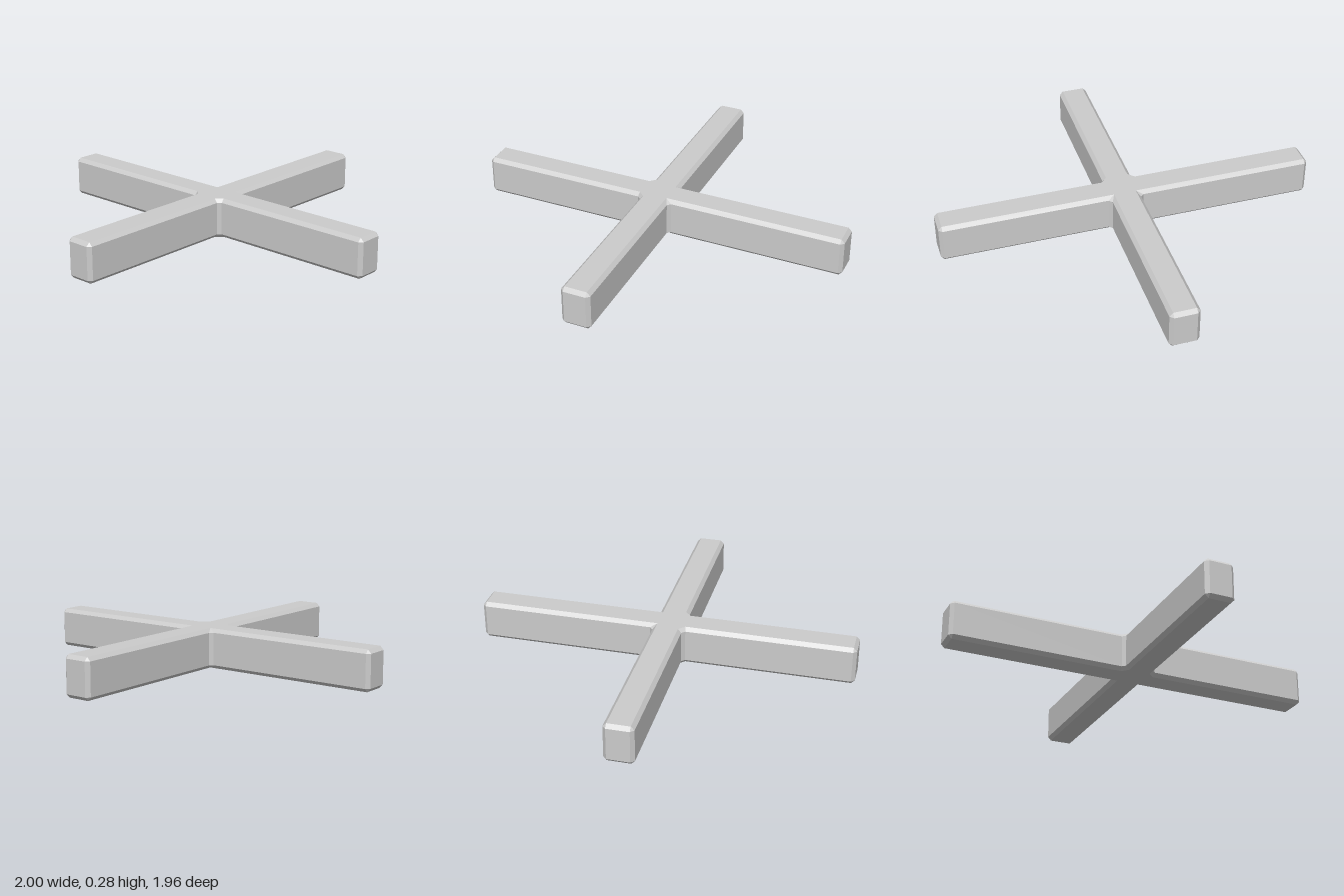
import * as THREE from 'three';

// All arm sizes are measured on the diagonals (x + z and z - x)
const CENTER_Z = 0.015, HALF_WIDTH = 0.143, CHAMFER = 0.034;
const FRONT_REACH = 1.82, BACK_REACH = 1.892;
const HEIGHT = 0.275, BEVEL = 0.025;

// Arms in order, each followed by the notch that comes after it
const ARMS = [
  { sx: 1, sz: 1, notch: [0, 1], wide: true },
  { sx: -1, sz: 1, notch: [-1, 0], wide: true },
  { sx: -1, sz: -1, notch: [0, -1], wide: false },
  { sx: 1, sz: -1, notch: [1, 0], wide: false },
];

// One horizontal loop of the cross: the full outline, or the inset cap edge
function crossLoop(y, isCap) {
  const points = [];
  const inset = isCap ? CHAMFER : 0;
  const w = HALF_WIDTH - inset;
  const c = isCap ? 0 : CHAMFER;
  for (const { sx, sz, notch, wide } of ARMS) {
    const e = (sz > 0 ? FRONT_REACH : BACK_REACH) - inset;
    // Chamfered end of the arm
    for (const [u, v] of [[e - c, -w], [e, c - w], [e, w - c], [e - c, w]]) {
      points.push([(u * sx - v * sz) / 2, y, (u * sz + v * sx) / 2 + CENTER_Z]);
    }
    // Small bevel in the inner corner between two arms
    const half = !isCap ? 0.016 : wide ? 0.03 : 0;
    const [nx, nz] = notch;
    for (const t of [-half, half]) {
      points.push([nx * (w + half) - nz * t, y, nz * (w + half) + nx * t + CENTER_Z]);
    }
  }
  return points;
}

function crossGeometry() {
  const loops = [
    crossLoop(0, true),
    crossLoop(BEVEL, false),
    crossLoop(HEIGHT - BEVEL, false),
    crossLoop(HEIGHT, true),
  ];
  const position = [];
  const triangle = (a, b, c) => position.push(...a, ...b, ...c);
  const count = loops[0].length;
  for (let i = 0; i < count; i++) {
    const j = (i + 1) % count;
    // Bevels and walls
    for (let k = 0; k < 3; k++) {
      const low = loops[k], high = loops[k + 1];
      triangle(low[i], high[i], high[j]);
      triangle(low[i], high[j], low[j]);
    }
    // Flat underside and top
    triangle([0, 0, CENTER_Z], loops[0][i], loops[0][j]);
    triangle([0, HEIGHT, CENTER_Z], loops[3][j], loops[3][i]);
  }
  const geometry = new THREE.BufferGeometry();
  geometry.setAttribute('position', new THREE.Float32BufferAttribute(position, 3));
  geometry.computeVertexNormals();
  return geometry;
}

export function createModel() {
  const group = new THREE.Group();
  group.name = 'crossBase';
  const material = new THREE.MeshStandardMaterial({ color: 0xcccccc, flatShading: true });
  const cross = new THREE.Mesh(crossGeometry(), material);
  cross.name = 'crossedBeams';
  group.add(cross);
  return group;
}
